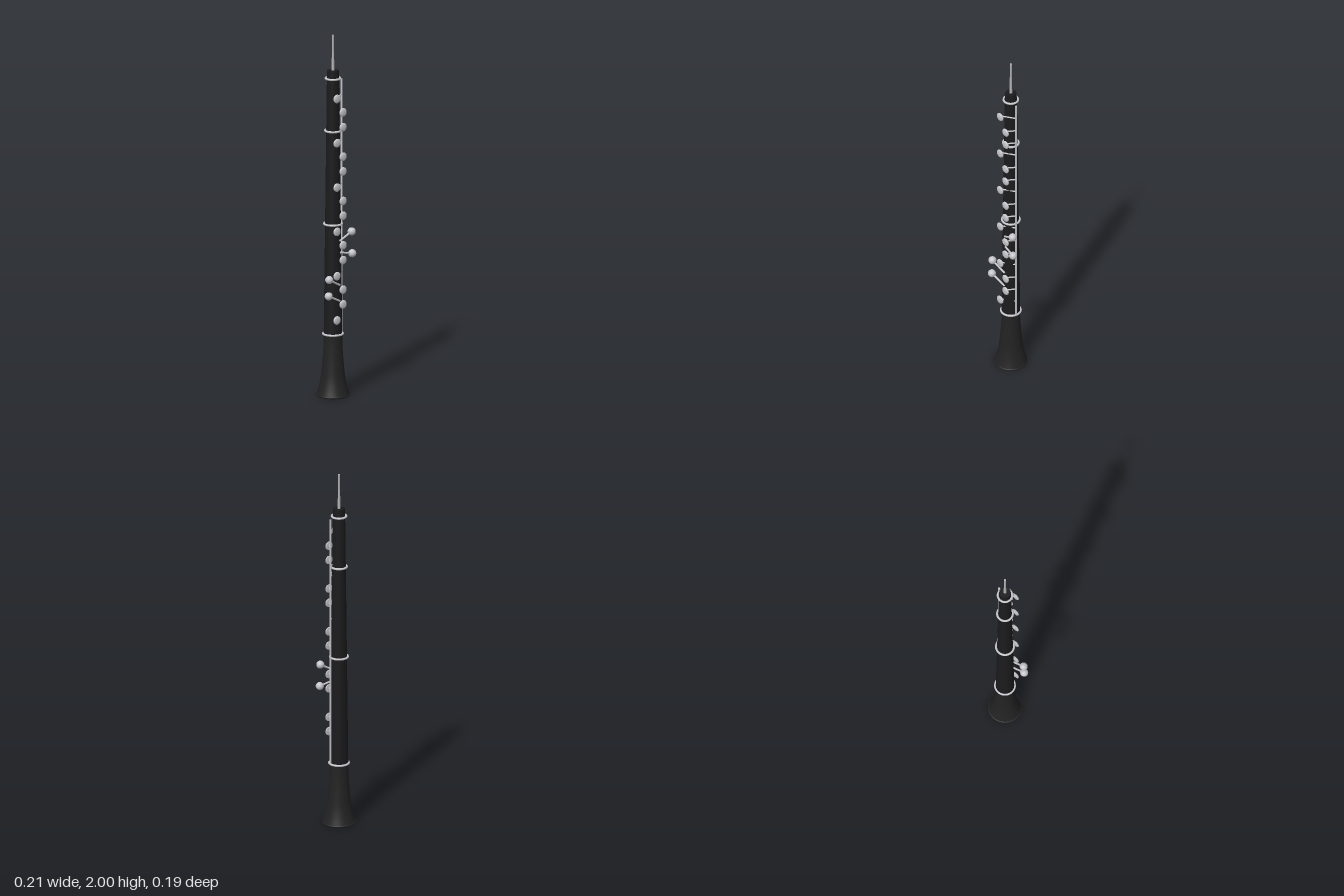
import * as THREE from 'three';

export function createModel() {
  const model = new THREE.Group();
  const wood = new THREE.MeshStandardMaterial({ name: 'black wood', color: 0x1b1b1d });
  const bellWood = new THREE.MeshStandardMaterial({ name: 'bell wood', color: 0x222222, side: THREE.DoubleSide });
  const silver = new THREE.MeshStandardMaterial({ name: 'silver', color: 0xc4c4ca });
  const reedGrey = new THREE.MeshStandardMaterial({ name: 'reed grey', color: 0xb2b2b4 });

  const add = (name, geometry, material, x = 0, y = 0, z = 0, parent = model) => {
    const mesh = new THREE.Mesh(geometry, material);
    mesh.name = name;
    mesh.position.set(x, y, z);
    parent.add(mesh);
    return mesh;
  };
  const lathe = (points, segments = 48) =>
    new THREE.LatheGeometry(points.map(([r, y]) => new THREE.Vector2(r, y)), segments);

  // Straight round bar between two points
  const bar = (name, a, b, radius, parent = model) => {
    const from = new THREE.Vector3(...a), to = new THREE.Vector3(...b);
    const dir = to.clone().sub(from);
    const mesh = add(name, new THREE.CylinderGeometry(radius, radius, dir.length(), 10), silver, 0, 0, 0, parent);
    mesh.position.copy(from).add(to).multiplyScalar(0.5);
    mesh.quaternion.setFromUnitVectors(new THREE.Vector3(0, 1, 0), dir.normalize());
    return mesh;
  };

  // Tapered body with a short top socket
  add('body', new THREE.CylinderGeometry(0.033, 0.05, 1.43, 40), wood, 0, 1.055, 0);
  add('topSocket', new THREE.CylinderGeometry(0.031, 0.032, 0.04, 40), wood, 0, 1.785, 0);

  // Flared hollow bell with a rounded rim
  const flare = new THREE.SplineCurve([
    [0.05, 0.34], [0.051, 0.28], [0.056, 0.2], [0.065, 0.11], [0.077, 0.05], [0.089, 0.008],
  ].map(([r, y]) => new THREE.Vector2(r, y))).getPoints(24);
  const outer = flare.map((p) => [p.x, p.y]).reverse();
  const inner = flare.map((p) => [p.x - 0.007, p.y]);
  add('bell', lathe([...inner.reverse(), [0.001, 0.34]]), bellWood);
  add('bellOuter', lathe(outer), bellWood);
  add('bellRim', new THREE.TorusGeometry(0.087, 0.006, 10, 56).rotateX(Math.PI / 2), bellWood, 0, 0.006, 0);
  add('bellCollar', new THREE.CylinderGeometry(0.052, 0.052, 0.022, 40), bellWood, 0, 0.331, 0);

  // Metal joint rings
  for (const [y, r] of [[1.76, 0.039], [1.47, 0.042], [0.953, 0.048], [0.343, 0.053]]) {
    add('jointRing', new THREE.TorusGeometry(r, 0.006, 12, 48).rotateX(Math.PI / 2), silver, 0, y, 0);
  }

  // Reed: metal staple and a slimmer blade
  add('reedStaple', new THREE.CylinderGeometry(0.006, 0.008, 0.11, 16), reedGrey, 0, 1.855, 0);
  add('reedBlade', new THREE.CylinderGeometry(0.0065, 0.0055, 0.1, 16).scale(1, 1, 0.8), reedGrey, 0, 1.95, 0);

  // Long side rod with end posts
  const rodX = 0.053, rodZ = 0.01;
  bar('keyRod', [rodX, 0.345, rodZ], [rodX, 1.75, rodZ], 0.0055);

  // Domed key cups, each with an arm to the rod
  const cup = lathe([[0, -0.006], [0.022, -0.006], [0.0235, -0.003], [0.0235, 0.001],
    [0.019, 0.0045], [0.011, 0.0065], [0, 0.007]], 28).rotateX(Math.PI / 2);
  for (let i = 0; i < 16; i++) {
    const y = 1.66 - i * 0.082;
    const x = i % 3 === 0 ? -0.022 : 0.021;
    const key = new THREE.Group();
    key.name = 'key';
    model.add(key);
    add('keyCup', cup, silver, x, y, 0.06, key);
    bar('keyArm', [rodX, y + 0.006, rodZ], [x, y + 0.006, 0.056], 0.004, key);
  }

  // Side levers ending in round touch pieces
  const ball = new THREE.SphereGeometry(0.022, 24, 16);
  for (const [x, y, innerX, innerY] of [
    [0.08, 0.908, 0.005, 0.865], [0.084, 0.786, 0.01, 0.8],
    [-0.08, 0.665, 0.005, 0.62], [-0.084, 0.575, 0.005, 0.532],
  ]) {
    const lever = new THREE.Group();
    lever.name = 'sideLever';
    model.add(lever);
    add('leverBall', ball, silver, x, y, 0.061, lever);
    bar('leverArm', [x, y, 0.061], [innerX, innerY, 0.05], 0.0055, lever);
  }
  return model;
}
